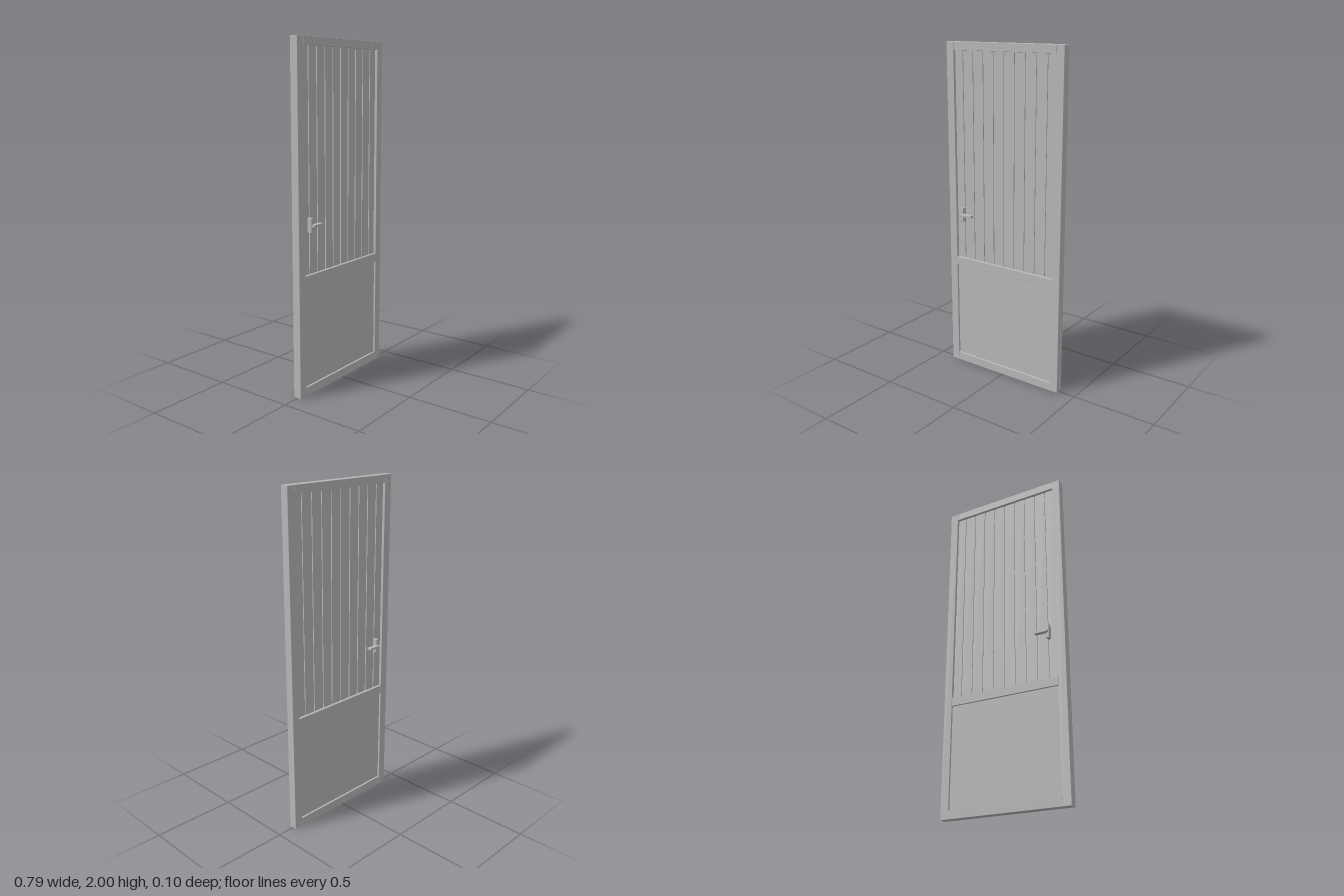
import * as THREE from 'three';
import { RoundedBoxGeometry } from 'three/addons/geometries/RoundedBoxGeometry.js';

export function createModel() {
  const door = new THREE.Group();
  door.name = 'door';
  const grey = new THREE.MeshStandardMaterial({ color: 0xb8b8b8 });
  grey.name = 'grey';

  // Box given by its limits on each axis, with optional eased edges
  function block(name, [x0, x1], [y0, y1], [z0, z1], radius = 0, parent = door) {
    const size = [x1 - x0, y1 - y0, z1 - z0];
    const geometry = radius
      ? new RoundedBoxGeometry(...size, 1, radius)
      : new THREE.BoxGeometry(...size);
    const mesh = new THREE.Mesh(geometry, grey);
    mesh.name = name;
    mesh.position.set((x0 + x1) / 2, (y0 + y1) / 2, (z0 + z1) / 2);
    parent.add(mesh);
    return mesh;
  }

  const outer = 0.395, inner = 0.344, depth = [-0.0245, 0.0245];

  // Frame: two stiles and three rails
  block('rightStile', [-outer, -inner], [0, 2], depth, 0.002);
  block('leftStile', [inner, outer], [0, 2], depth, 0.002);
  block('bottomRail', [-inner, inner], [0, 0.052], depth, 0.0015);
  block('middleRail', [-inner, inner], [0.653, 0.705], depth, 0.0015);
  block('topRail', [-inner, inner], [1.953, 2], depth, 0.0015);

  // Plain lower panel
  block('lowerPanel', [-inner, inner], [0.05, 0.655], [-0.013, 0.013]);

  // Upper planking: thin core seen in the grooves, planks on both faces
  block('plankCore', [-inner, inner], [0.703, 1.955], [-0.002, 0.002]);
  const pitch = 0.0718, gap = 0.0035;
  for (let i = -5; i < 5; i++) {
    const x0 = Math.max(-inner, i * pitch + gap);
    const x1 = Math.min(inner, (i + 1) * pitch - gap);
    block('plank', [x0, x1], [0.703, 1.955], [-0.008, 0.008]);
  }

  // Handles, one on each face
  for (const side of [1, -1]) {
    const handle = new THREE.Group();
    handle.name = side > 0 ? 'frontHandle' : 'backHandle';
    const span = (a, b) => (side > 0 ? [a, b] : [-b, -a]);
    block('backplate', [-0.302, -0.282], [0.942, 1.028], span(0.006, 0.036), 0.004, handle);
    block('lever', [-0.296, -0.215], [0.976, 0.991], span(0.024, 0.052), 0.002, handle);
    block('spindle', [-0.297, -0.287], [0.978, 0.989], span(0.006, 0.03), 0, handle);
    door.add(handle);
  }

  return door;
}
